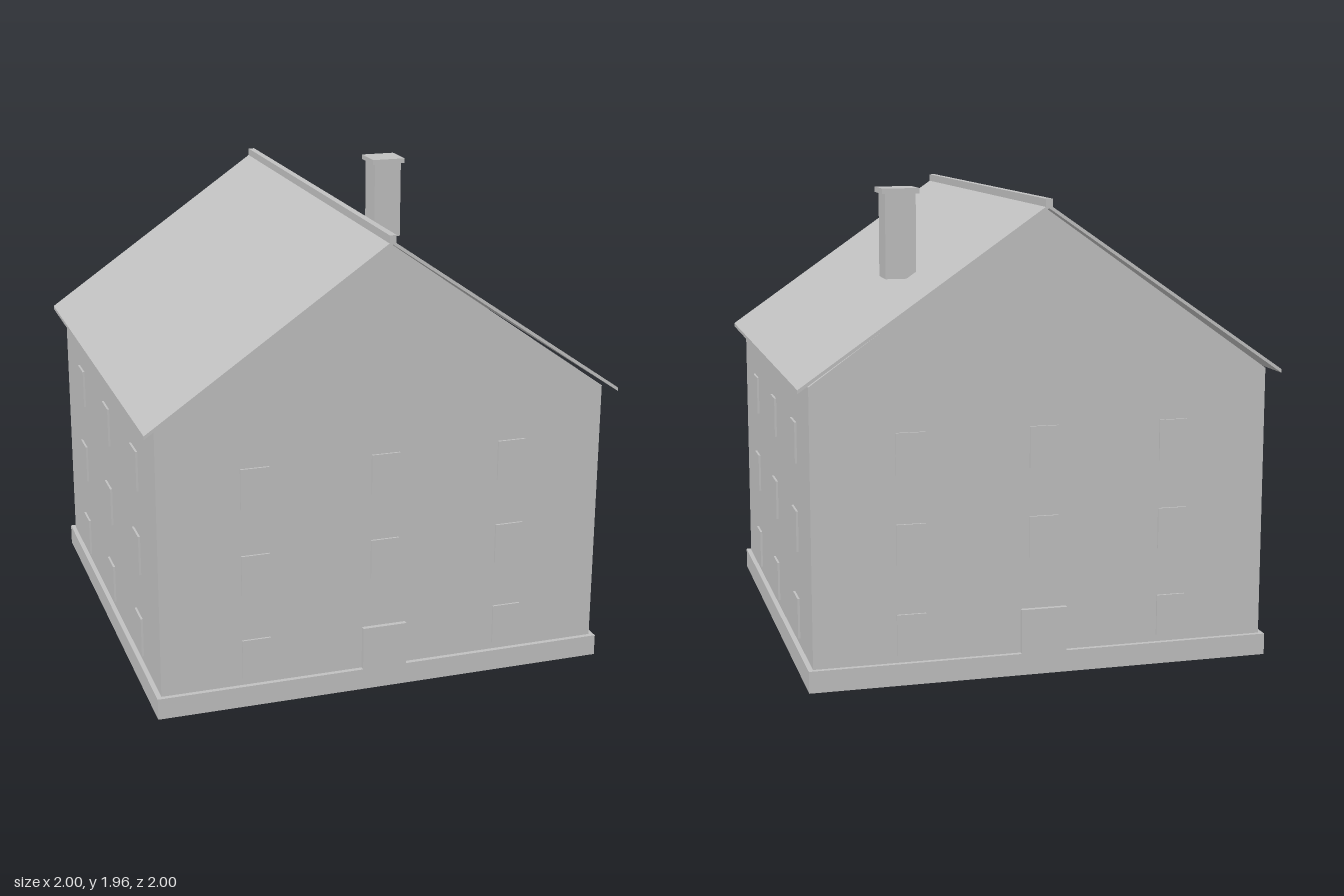
import * as THREE from 'three';

export function createModel() {
  const house = new THREE.Group();
  house.name = 'house';
  const plainGrey = new THREE.MeshStandardMaterial({ color: 0xc0c0c0 });
  plainGrey.name = 'plainGrey';

  const add = (name, geometry, x = 0, y = 0, z = 0) => {
    const mesh = new THREE.Mesh(geometry, plainGrey);
    mesh.name = name;
    mesh.position.set(x, y, z);
    house.add(mesh);
    return mesh;
  };
  // Box given by its ranges along each axis
  const box = (name, x0, x1, y0, y1, z0, z1) =>
    add(name, new THREE.BoxGeometry(x1 - x0, y1 - y0, z1 - z0),
      (x0 + x1) / 2, (y0 + y1) / 2, (z0 + z1) / 2);
  // Front outline extruded evenly about z = 0
  const prism = (name, points, depth) => {
    const shape = new THREE.Shape(points.map(([x, y]) => new THREE.Vector2(x, y)));
    const geometry = new THREE.ExtrudeGeometry(shape, { depth, bevelEnabled: false });
    return add(name, geometry, 0, 0, -depth / 2);
  };

  // Plinth and gabled walls
  box('plinth', -0.97, 0.97, 0, 0.09, -0.97, 0.97);
  prism('walls', [[-0.95, 0.09], [0.95, 0.09], [0.95, 1.225], [0, 1.898], [-0.95, 1.225]], 1.9);

  // Thin roof slopes and ridge cap
  for (const s of [-1, 1]) {
    prism(s > 0 ? 'leftRoof' : 'rightRoof',
      [[0, 1.9], [s, 1.21], [s, 1.225], [0, 1.915]], 2);
  }
  box('ridgeCap', -0.014, 0.014, 1.905, 1.937, -1, 1);

  // Chimney standing over the left slope
  box('chimney', 0.43, 0.558, 1.59, 1.94, -0.543, -0.413);
  box('chimneyCap', 0.417, 0.572, 1.938, 1.96, -0.557, -0.402);

  // Doors and three rows of raised windows on every side
  for (const s of [-1, 1]) {
    const door = new THREE.BoxGeometry(0.19, 0.185, 0.022);
    add(s > 0 ? 'frontDoor' : 'backDoor', door, 0, 0.1825, s * 0.959);
    [0.205, 0.575, 0.945].forEach((y, row) => {
      for (const column of [-1, 0, 1]) {
        add('sideWindow', new THREE.BoxGeometry(0.018, 0.17, 0.12), s * 0.95, y, column * 0.57);
        if (row === 0 && column === 0) continue; // the door takes this place
        add('gableWindow', new THREE.BoxGeometry(0.12, 0.17, 0.018), column * 0.55, y, s * 0.95);
      }
    });
  }
  return house;
}
